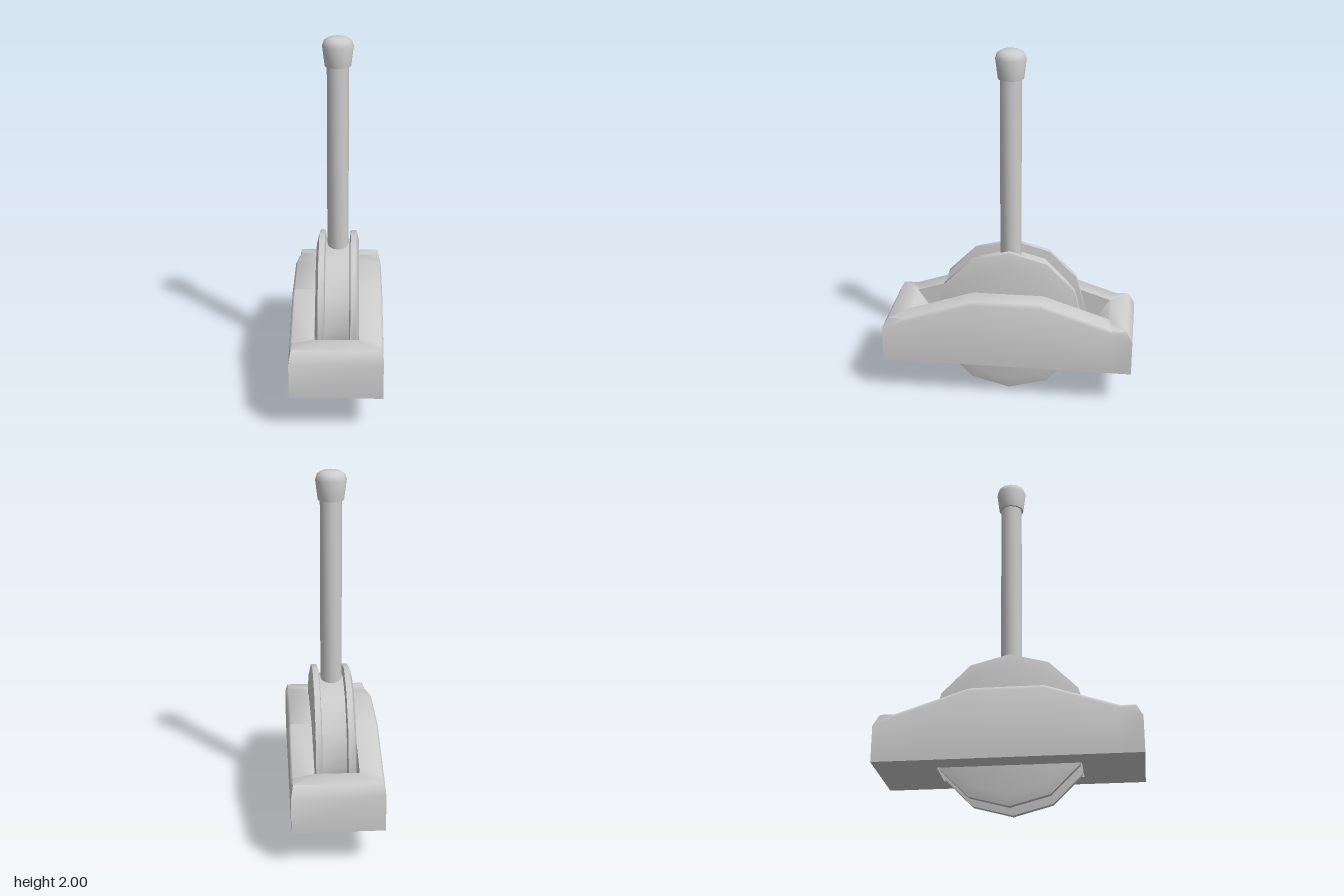
import * as THREE from 'three';
import { mergeVertices, toCreasedNormals } from 'three/addons/utils/BufferGeometryUtils.js';

const V = (x, y) => new THREE.Vector2(x, y);
const CREASE = Math.PI / 3;

// Height of the housing's top surface along z
function topHeight(z) {
  const t = THREE.MathUtils.clamp((Math.abs(z) - 0.2) / 0.395, 0, 1);
  return 0.615 - 0.13 * t;
}

// Rectangular frame: sections marching around the slot, each a five-point loop
function housingGeometry() {
  // outer z, shoulder y, top edge z, slot z
  const side = [
    [0.71, 0.42, 0.675, 0.57],
    [0.595, 0.465, 0.595, 0.55],
    [0.2, 0.595, 0.2, 0.2],
  ];
  const half = [...side, ...side.slice().reverse().map(([a, y, b, c]) => [-a, y, -b, -c])];
  const loop = [
    ...half.map((s) => [1, ...s]),
    ...half.slice().reverse().map((s) => [-1, ...s]),
  ];
  const positions = [];
  const index = [];
  for (const [s, zo, ys, zt, zi] of loop) {
    positions.push(
      0.25 * s, 0.22, zo,
      0.25 * s, ys, zo,
      0.238 * s, topHeight(zt), zt,
      0.12 * s, topHeight(zi), zi,
      0.12 * s, 0.22, zi * 0.67, // slot ends slope inward towards the bottom
    );
  }
  const n = loop.length;
  for (let i = 0; i < n; i++) {
    const k = (i + 1) % n;
    for (let j = 0; j < 5; j++) {
      const m = (j + 1) % 5;
      const a = i * 5 + j, b = k * 5 + j, c = k * 5 + m, d = i * 5 + m;
      index.push(a, b, c, a, c, d);
    }
  }
  const g = new THREE.BufferGeometry();
  g.setAttribute('position', new THREE.Float32BufferAttribute(positions, 3));
  g.setIndex(index);
  return toCreasedNormals(g, CREASE);
}

// Twelve-sided turned part with welded seam and creased edges
function turned(points) {
  const g = new THREE.LatheGeometry(points, 12);
  g.deleteAttribute('uv');
  g.deleteAttribute('normal');
  return toCreasedNormals(mergeVertices(g), CREASE);
}

export function createModel() {
  const group = new THREE.Group();
  const grey = new THREE.MeshStandardMaterial({ color: 0xcccccc });
  grey.name = 'light grey';

  const add = (name, geometry) => {
    const mesh = new THREE.Mesh(geometry, grey);
    mesh.name = name;
    group.add(mesh);
    return mesh;
  };

  // Slotted base
  add('housing', housingGeometry());

  // Grooved wheel with two bevelled flanges
  const wheel = add('pivotWheel', turned([
    V(0, -0.12), V(0.37, -0.12), V(0.43, -0.105), V(0.43, -0.073), V(0.38, -0.067),
    V(0.38, 0.067), V(0.43, 0.073), V(0.43, 0.105), V(0.37, 0.12), V(0, 0.12),
  ]));
  wheel.rotation.z = Math.PI / 2;
  wheel.position.y = 0.433;

  // Lever rod, rooted in the wheel
  add('leverShaft', turned([V(0, 0.74), V(0.06, 0.74), V(0.06, 1.85), V(0, 1.85)]));

  // Flared grip with a rounded top
  add('knob', turned([
    V(0, 1.84), V(0.071, 1.84), V(0.085, 1.95), V(0.075, 1.98), V(0.05, 1.995), V(0, 2),
  ]));

  return group;
}
